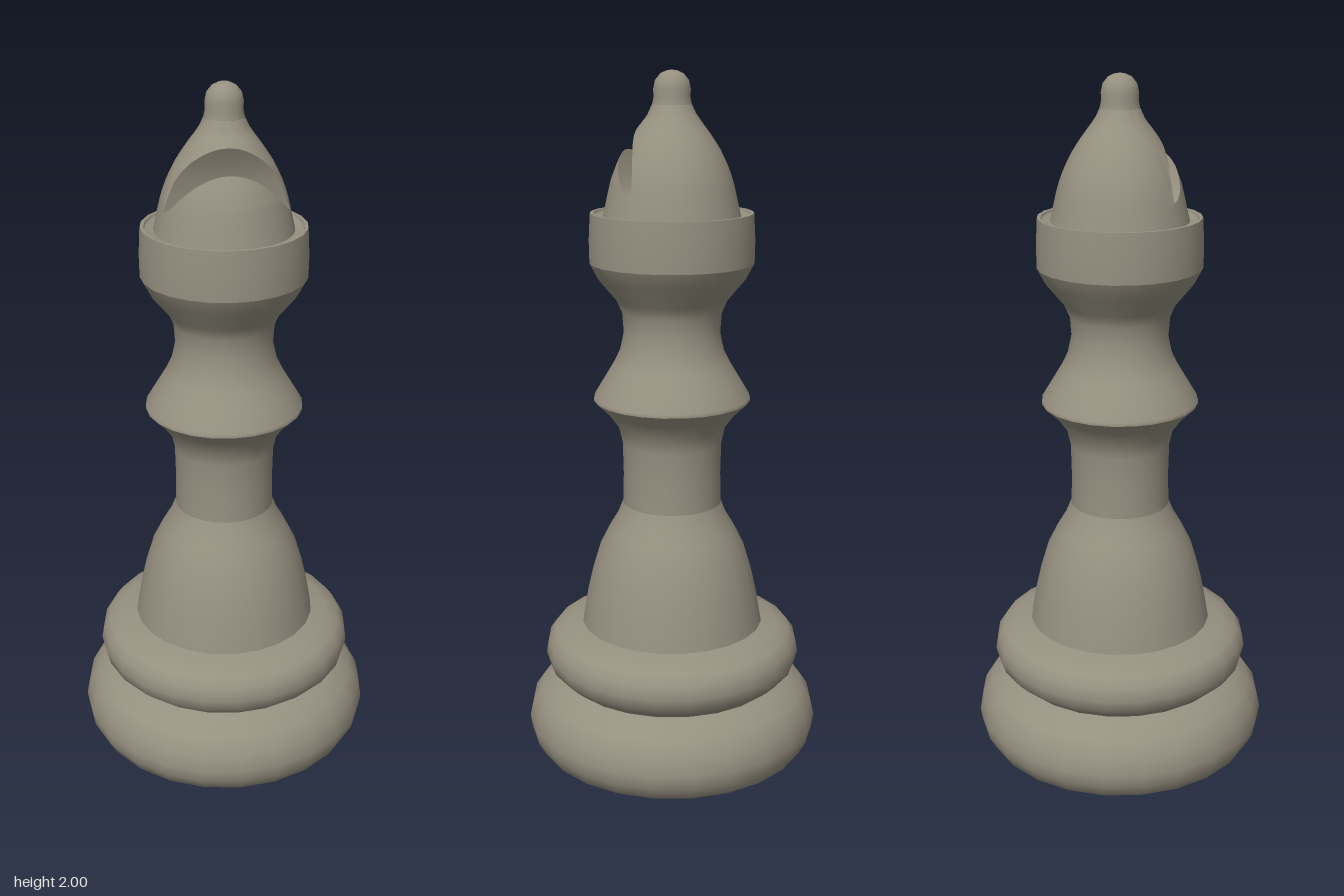
import * as THREE from 'three';
import { toCreasedNormals } from 'three/addons/utils/BufferGeometryUtils.js';

const SEGMENTS = 24;
const material = new THREE.MeshStandardMaterial({ color: 0x969080 });

function addMesh(group, name, geometry) {
  const mesh = new THREE.Mesh(geometry, material);
  mesh.name = name;
  group.add(mesh);
}

// Turned part from [radius, height] pairs, listed bottom to top
function addTurned(group, name, profile) {
  const points = profile.map(([r, y]) => new THREE.Vector2(r, y));
  addMesh(group, name, new THREE.LatheGeometry(points, SEGMENTS));
}

// Mitre: a dome with a curved wedge cut across its front
const BASE_Y = 1.61, TOP_Y = 1.91, TIP_Y = 1.675, TIP_Z = 0.048;
const dome = [[0.19, 1.61], [0.179, 1.66], [0.167, 1.71], [0.15, 1.755],
  [0.127, 1.8], [0.092, 1.85], [0.068, 1.88], [0.054, 1.91]];

function domeRadius(y) {
  let i = 0;
  while (i < dome.length - 2 && y > dome[i + 1][1]) i++;
  const [r0, y0] = dome[i], [r1, y1] = dome[i + 1];
  return r0 + (r1 - r0) * (y - y0) / (y1 - y0);
}
const lowerWallZ = y => TIP_Z + 0.085 * Math.sqrt((y - TIP_Y) / 0.115);
const upperWallZ = y => TIP_Z + 0.042 * ((y - TIP_Y) / 0.17) ** 2;

// Height at which the dome's meridian at this angle meets a notch wall
function cutHeight(angle, wallZ) {
  let low = TIP_Y, high = TOP_Y;
  if (domeRadius(low) * Math.cos(angle) <= TIP_Z + 1e-6) return TIP_Y;
  for (let i = 0; i < 40; i++) {
    const y = (low + high) / 2;
    if (domeRadius(y) * Math.cos(angle) > wallZ(y)) low = y; else high = y;
  }
  return low;
}

function mitreGeometry() {
  const positions = [];
  const quad = (a, b, c, d) => {
    for (const p of [a, b, c, a, c, d]) positions.push(p.x, p.y, p.z);
  };
  const onDome = (angle, y) => new THREE.Vector3(
    domeRadius(y) * Math.sin(angle), y, domeRadius(y) * Math.cos(angle));

  // Angles: fine steps across the notch, then around the back
  const notchEnd = Math.acos(TIP_Z / domeRadius(TIP_Y));
  const notchSteps = 10, backSteps = 18, angles = [];
  for (let i = -notchSteps; i < notchSteps; i++) angles.push(notchEnd * i / notchSteps);
  for (let i = 0; i <= backSteps; i++)
    angles.push(notchEnd + (2 * Math.PI - 2 * notchEnd) * i / backSteps);

  // Outer skin below and above the notch
  const rows = 10;
  const addSkin = (from, to) => {
    for (let i = 0; i < angles.length - 1; i++) {
      const at = (angle, j) =>
        onDome(angle, THREE.MathUtils.lerp(from(angle), to(angle), j / rows));
      for (let j = 0; j < rows; j++) {
        const a = angles[i], b = angles[i + 1];
        quad(at(a, j), at(b, j), at(b, j + 1), at(a, j + 1));
      }
    }
  };
  const lowerCut = angle => cutHeight(angle, lowerWallZ);
  const upperCut = angle => cutHeight(angle, upperWallZ);
  addSkin(() => BASE_Y, lowerCut);
  addSkin(upperCut, () => TOP_Y);

  // Notch walls, spanning from side to side
  for (let i = 0; i < notchSteps; i++) {
    const a = notchEnd * i / notchSteps, b = notchEnd * (i + 1) / notchSteps;
    const edge = (angle, cut) => onDome(angle, cut(angle));
    quad(edge(-a, lowerCut), edge(-b, lowerCut), edge(b, lowerCut), edge(a, lowerCut));
    quad(edge(-b, upperCut), edge(b, upperCut), edge(a, upperCut), edge(-a, upperCut));
    // the lower wall faces up, so its corners run the other way round
    const start = positions.length - 36;
    const lower = positions.slice(start, start + 18);
    const facesUp = (() => {
      const [p, q, r] = [3, 6, 9].map(k => new THREE.Vector3(...lower.slice(k, k + 3)));
      return q.sub(p).cross(r.sub(p)).y;
    })();
    if (facesUp < 0) {
      for (let t = 0; t < 18; t += 9) {
        for (let k = 0; k < 3; k++) {
          positions[start + t + 3 + k] = lower[t + 6 + k];
          positions[start + t + 6 + k] = lower[t + 3 + k];
        }
      }
    }
  }

  const geometry = new THREE.BufferGeometry();
  geometry.setAttribute('position', new THREE.Float32BufferAttribute(positions, 3));
  return toCreasedNormals(geometry, 0.6);
}

export function createModel() {
  const group = new THREE.Group();
  group.name = 'bishop';

  // Foot and rings
  addTurned(group, 'baseUnderside', [[0, 0], [0.29, 0.005]]);
  addTurned(group, 'baseRing', [[0.29, 0.005], [0.35, 0.02], [0.4, 0.05], [0.422, 0.09],
    [0.428, 0.13], [0.417, 0.18], [0.39, 0.22], [0.35, 0.247], [0.32, 0.258]]);
  addTurned(group, 'upperRing', [[0.32, 0.258], [0.34, 0.275], [0.365, 0.3], [0.374, 0.335],
    [0.368, 0.37], [0.348, 0.398], [0.31, 0.415], [0.265, 0.425]]);

  // Flared skirt, stem and waist bead
  addTurned(group, 'skirt', [[0.265, 0.425], [0.252, 0.5], [0.236, 0.57], [0.212, 0.65],
    [0.182, 0.71], [0.158, 0.75], [0.142, 0.79]]);
  addTurned(group, 'stem', [[0.142, 0.79], [0.14, 0.88], [0.142, 0.97], [0.152, 1.015],
    [0.185, 1.06], [0.222, 1.095]]);
  addTurned(group, 'waistBead', [[0.222, 1.095], [0.222, 1.105], [0.195, 1.15], [0.165, 1.2],
    [0.148, 1.235], [0.136, 1.29], [0.14, 1.345], [0.155, 1.38], [0.205, 1.44], [0.229, 1.485]]);

  // Cup with a flat rim
  addTurned(group, 'cupWall', [[0.229, 1.485], [0.23, 1.55], [0.226, 1.622]]);
  addTurned(group, 'cupRim', [[0.226, 1.622], [0.216, 1.622]]);
  addTurned(group, 'cupFloor', [[0.216, 1.622], [0.213, 1.612], [0.185, 1.611]]);

  // Mitre and finial
  addMesh(group, 'mitre', mitreGeometry());
  addTurned(group, 'finial', [[0.054, 1.91], [0.05, 1.93], [0.051, 1.95], [0.046, 1.973],
    [0.032, 1.99], [0.015, 1.998], [0, 2]]);

  return group;
}
